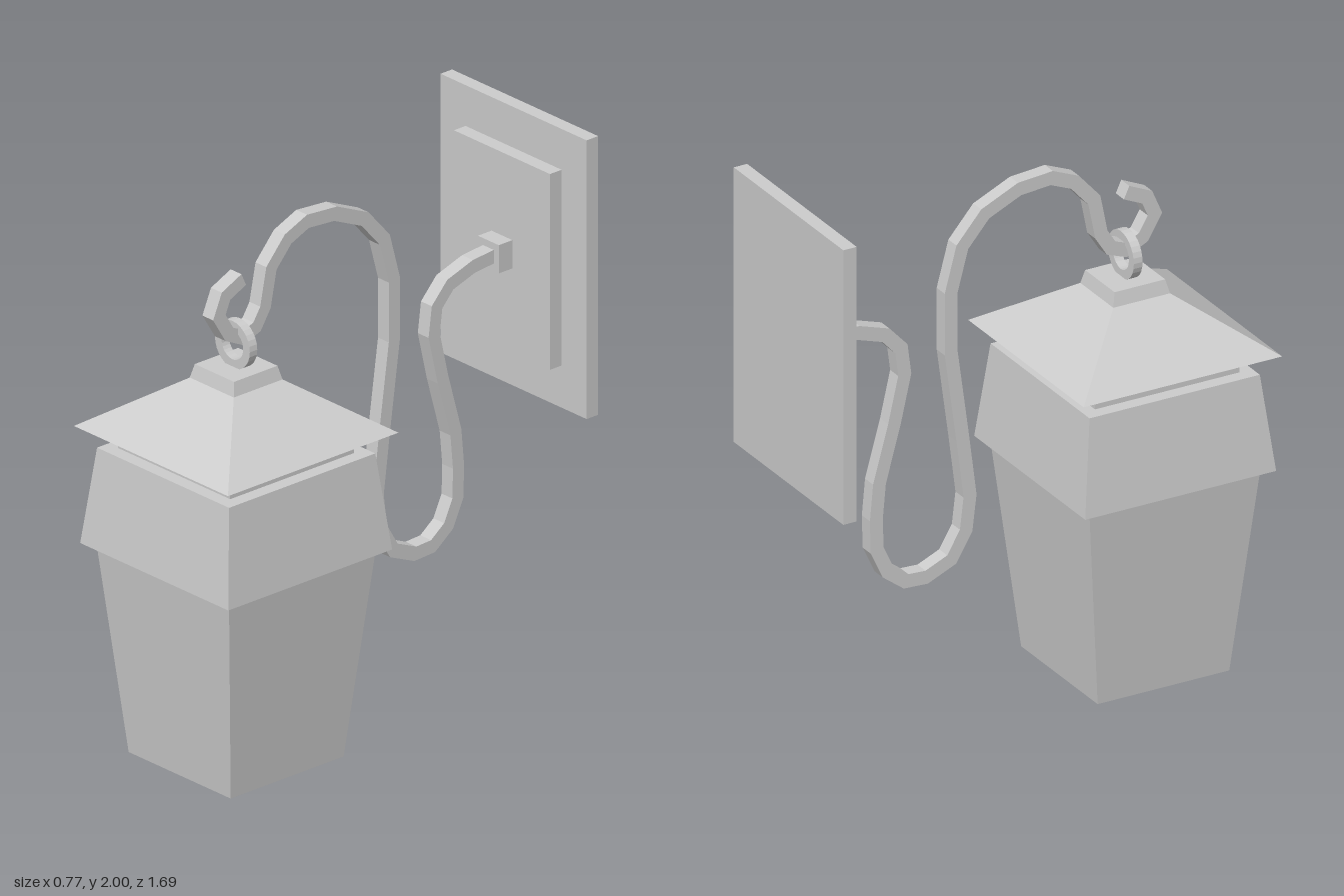
import * as THREE from 'three';

const material = new THREE.MeshStandardMaterial({ color: 0xcccccc, flatShading: true });
const LANTERN_Z = 0.46;

export function createModel() {
  const model = new THREE.Group();
  model.name = 'wallLantern';

  function add(parent, name, geometry, x = 0, y = 0, z = 0) {
    const mesh = new THREE.Mesh(geometry, material);
    mesh.name = name;
    mesh.position.set(x, y, z);
    parent.add(mesh);
    return mesh;
  }

  // Square frustum given by its heights and half widths
  function frustum(parent, name, y0, half0, y1, half1) {
    const g = new THREE.CylinderGeometry(half1 * Math.SQRT2, half0 * Math.SQRT2, y1 - y0, 4);
    g.rotateY(Math.PI / 4);
    return add(parent, name, g, 0, (y0 + y1) / 2, 0);
  }

  // Wall mount: stepped plates and a socket
  const mount = new THREE.Group();
  mount.name = 'wallMount';
  model.add(mount);
  add(mount, 'backPlate', new THREE.BoxGeometry(0.73, 1.025, 0.052), 0, 1.4875, -0.819);
  add(mount, 'raisedPlate', new THREE.BoxGeometry(0.48, 0.72, 0.055), 0, 1.49, -0.768);
  add(mount, 'armSocket', new THREE.BoxGeometry(0.104, 0.104, 0.07), 0, 1.492, -0.714);

  // Curved arm: square bar following a centre line of (z, y) points
  const line = [
    [-0.7, 1.495], [-0.59, 1.485], [-0.483, 1.45], [-0.423, 1.385], [-0.41, 1.285],
    [-0.45, 1.11], [-0.508, 0.9], [-0.52, 0.77], [-0.517, 0.655], [-0.475, 0.565],
    [-0.405, 0.512], [-0.325, 0.508], [-0.228, 0.55], [-0.172, 0.645], [-0.157, 0.77],
    [-0.185, 0.99], [-0.23, 1.32], [-0.23, 1.545], [-0.187, 1.705], [-0.098, 1.808],
    [0.035, 1.868], [0.16, 1.878], [0.25, 1.84], [0.325, 1.755], [0.352, 1.62],
    [0.39, 1.56], [0.45, 1.538], [0.515, 1.57], [0.56, 1.645], [0.53, 1.715], [0.45, 1.752],
  ].map(([z, y]) => new THREE.Vector2(z, y));
  const halfBar = 0.025;
  const side = (sign) => line.map((p, i) => {
    const a = p.clone().sub(line[Math.max(i - 1, 0)]).normalize();
    const b = line[Math.min(i + 1, line.length - 1)].clone().sub(p).normalize();
    const t = a.add(b);
    const miter = i === 0 || i === line.length - 1 ? 1 : 2 / t.length();
    t.normalize();
    return new THREE.Vector2(-t.y, t.x).multiplyScalar(sign * halfBar * miter).add(p);
  });
  const outline = new THREE.Shape([...side(1), ...side(-1).reverse()]);
  const arm = new THREE.ExtrudeGeometry(outline, { depth: 0.054, bevelEnabled: false });
  arm.translate(0, 0, -0.027);
  arm.rotateY(-Math.PI / 2);
  add(model, 'curvedArm', arm);

  // Hanging lantern
  const lantern = new THREE.Group();
  lantern.name = 'lantern';
  lantern.position.z = LANTERN_Z;
  model.add(lantern);
  frustum(lantern, 'body', 0, 0.255, 0.8, 0.335);
  frustum(lantern, 'collar', 0.765, 0.37, 1.117, 0.33);
  frustum(lantern, 'neck', 1.1, 0.28, 1.195, 0.28);
  frustum(lantern, 'roof', 1.195, 0.385, 1.382, 0.11);
  frustum(lantern, 'roofCap', 1.382, 0.11, 1.432, 0.098);

  // Flat hanging ring
  const ringShape = new THREE.Shape().absarc(0, 0, 0.087, 0, Math.PI * 2, false);
  ringShape.holes.push(new THREE.Path().absarc(0, 0, 0.054, 0, Math.PI * 2, true));
  const ring = new THREE.ExtrudeGeometry(ringShape, { depth: 0.034, bevelEnabled: false, curveSegments: 14 });
  add(lantern, 'hangingRing', ring, 0, 1.512, -0.017);

  return model;
}
